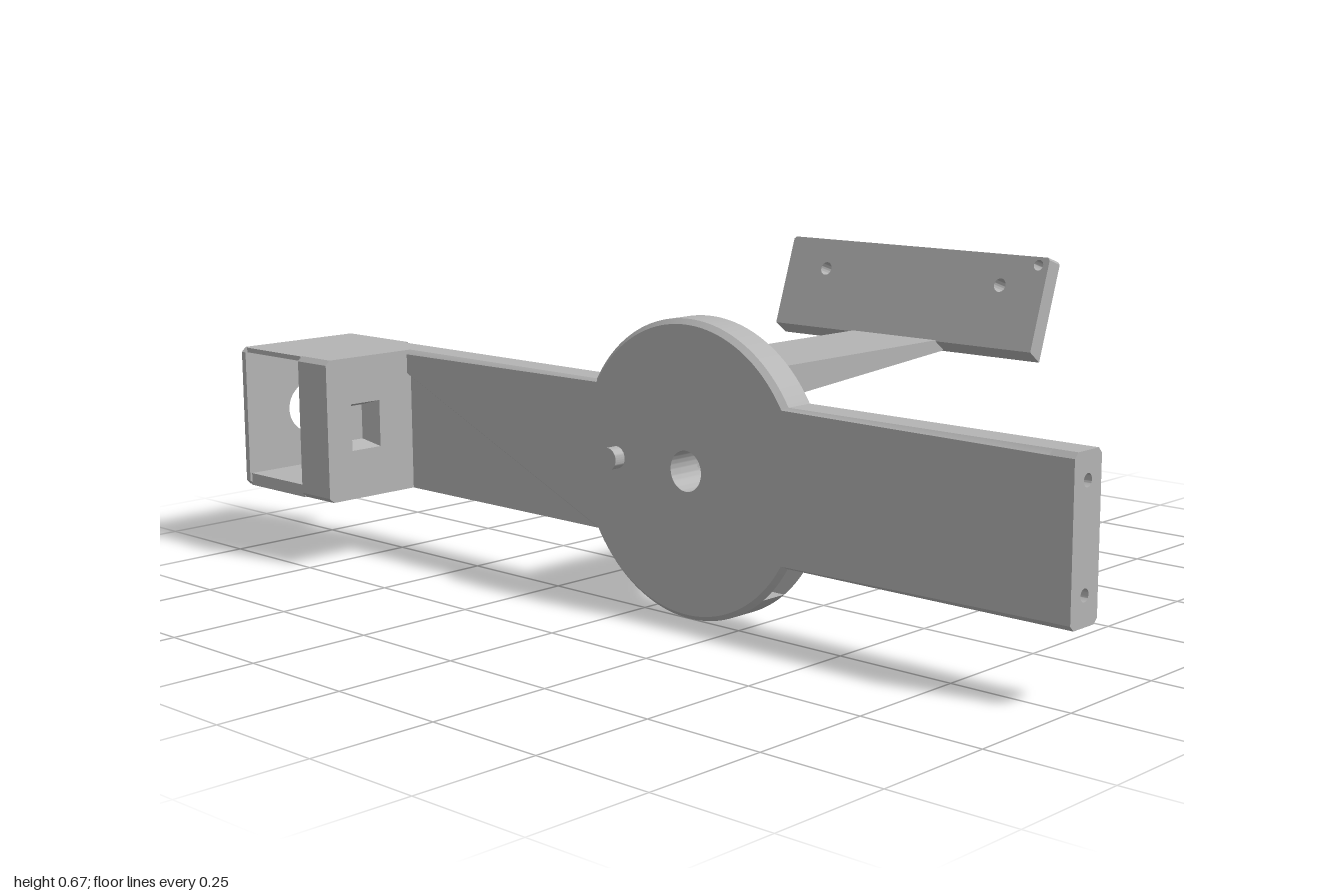
import * as THREE from 'three';
import { toCreasedNormals } from 'three/addons/utils/BufferGeometryUtils.js';

const CX = 0.122, CY = 0.2925, R = 0.2925, H = 0.1515; // hub centre, hub radius, arm half height
const X0 = -0.8, X1 = 0.95, CH = 0.01;

export function createModel() {
  const model = new THREE.Group();
  const grey = new THREE.MeshStandardMaterial({ color: 0xb4b4b4 });
  grey.name = 'grey plastic';

  const add = (name, geo, x = 0, y = 0, z = 0) => {
    const mesh = new THREE.Mesh(toCreasedNormals(geo, 0.5), grey);
    mesh.name = name;
    mesh.position.set(x, y, z);
    model.add(mesh);
    return mesh;
  };
  const extrude = (shape, depth) =>
    new THREE.ExtrudeGeometry(shape, { depth, bevelEnabled: false, curveSegments: 40 });
  // extrusion along x: shape x is -z, shape y is y
  const extrudeX = (shape, depth) => extrude(shape, depth).rotateY(Math.PI / 2);
  const poly = (pts) => new THREE.Shape(pts.map((p) => new THREE.Vector2(p[0], p[1])));
  const drill = (shape, x, y, r) => {
    shape.holes.push(new THREE.Path().absarc(x, y, r, 0, Math.PI * 2, true));
    return shape;
  };
  const warp = (geo, rule) => {
    const p = geo.attributes.position, v = new THREE.Vector3();
    for (let i = 0; i < p.count; i++) {
      v.fromBufferAttribute(p, i);
      rule(v);
      p.setXYZ(i, v.x, v.y, v.z);
    }
    return geo;
  };

  // Arm with round hub: outline, optionally without the lower hub half
  const armAngle = Math.asin(H / R);
  const outline = (lowerHub) => {
    const s = new THREE.Shape();
    s.moveTo(X0, CY - H);
    if (lowerHub) s.absarc(CX, CY, R, Math.PI + armAngle, 2 * Math.PI - armAngle, false);
    s.lineTo(X1, CY - H);
    s.lineTo(X1, CY + H);
    s.absarc(CX, CY, R, armAngle, Math.PI - armAngle, false);
    s.lineTo(X0, CY + H);
    s.closePath();
    return drill(s, CX, CY, 0.04);
  };

  // Front and back skins carry the chamfer
  const skin = (front) => {
    const s = outline(true);
    if (!front) drill(s, 0.49, CY, 0.022);
    return warp(extrude(s, CH), (v) => {
      if ((v.z > CH / 2) !== front) return;
      const dx = v.x - CX, dy = v.y - CY, d = Math.hypot(dx, dy);
      if (Math.abs(d - R) < 0.002) {
        v.x = CX + dx * (1 - CH / R);
        v.y = CY + dy * (1 - CH / R);
      } else if (Math.abs(Math.abs(dy) - H) < 0.002) v.y -= Math.sign(dy) * CH;
    });
  };
  add('armFrontSkin', skin(true), 0, 0, 0.25);
  add('armBackSkin', skin(false), 0, 0, 0.18);
  add('armCore', extrude(outline(false), 0.06), 0, 0, 0.19);

  // Lower hub rim, leaving a slot under the arm
  const capAngle = Math.asin((CY - 0.07) / R);
  const cap = new THREE.Shape();
  cap.absarc(CX, CY, R, Math.PI + capAngle, 2 * Math.PI - capAngle, false);
  cap.closePath();
  add('hubLowerRim', extrude(cap, 0.06), 0, 0, 0.19);

  // Arm tip with two screw holes
  const lo = CY - H, hi = CY + H;
  const tip = poly([
    [-0.26, lo + CH], [-0.25, lo], [-0.19, lo], [-0.18, lo + CH],
    [-0.18, hi - CH], [-0.19, hi], [-0.25, hi], [-0.26, hi - CH],
  ]);
  for (const y of [0.197, 0.393]) drill(tip, -0.22, y, 0.012);
  add('armTip', extrudeX(tip, 0.05), X1, 0, 0);

  // Hub fittings: front pin, back posts and bearing ring
  const tube = (outer, inner, length) =>
    extrude(drill(new THREE.Shape().absarc(0, 0, outer, 0, Math.PI * 2, false), 0, 0, inner), length);
  add('frontPin', new THREE.CylinderGeometry(0.022, 0.022, 0.03, 32).rotateX(Math.PI / 2), -0.065, 0.295, 0.27);
  add('bearingRing', tube(0.056, 0.04, 0.05), CX, CY, 0.135);
  for (const sx of [-1, 1])
    for (const sy of [-1, 1])
      add('backPost', tube(0.0325, 0.018, 0.07), CX + sx * 0.088, CY + sy * 0.088, 0.114);

  // End box: solid cheek with tapered window, open bay beside it
  const cheek = () => poly([
    [-0.475, lo + CH], [-0.465, lo], [-0.24, lo], [-0.24, hi], [-0.465, hi], [-0.475, hi - CH],
  ]);
  const WZ = -0.375, WY = 0.295;
  const windowed = cheek();
  windowed.holes.push(new THREE.Path([
    [-0.025, -0.037], [-0.025, 0.037], [0.025, 0.037], [0.025, -0.037],
  ].map((p) => new THREE.Vector2(WZ + p[0], WY + p[1]))));
  const windowGeo = warp(extrude(windowed, 0.045), (v) => {
    const a = v.x - WZ, b = v.y - WY;
    if (v.z > 0.02 && Math.abs(a) < 0.03 && Math.abs(b) < 0.04) {
      v.x = WZ + a * 1.5;
      v.y = WY + b * 1.35;
    }
  }).rotateY(Math.PI / 2);
  add('boxCheekOuter', windowGeo, -0.75, 0, 0);
  add('boxCheekInner', extrudeX(drill(cheek(), -0.31, 0.295, 0.018), 0.05), X0, 0, 0);

  const wall = poly([
    [-0.475, lo + CH], [-0.465, lo], [-0.18, lo], [-0.18, hi], [-0.465, hi], [-0.475, hi - CH],
  ]);
  add('boxEndWall', extrudeX(drill(wall, -0.31, 0.295, 0.055), 0.013), -1, 0, 0);
  add('boxRoof', new THREE.BoxGeometry(0.19, 0.01, 0.29), -0.893, hi - 0.005, 0.325);
  add('boxFloor', new THREE.BoxGeometry(0.19, 0.026, 0.23), -0.893, lo + 0.013, 0.355);

  // Tapered bracket reaching back from the hub
  const bracket = poly([
    [-0.185, 0.427], [-0.1, 0.427], [0.402, 0.465], [0.376, 0.489], [-0.185, 0.489],
  ]);
  add('bracketArm', extrudeX(bracket, 0.22), 0.013, 0, 0);

  // Tilted mounting plate with screw holes and a slanted lower edge
  const plate = poly([[-0.205, 0], [0.47, 0], [0.47, 0.19], [0.465, 0.195], [-0.2, 0.195], [-0.205, 0.19]]);
  drill(plate, -0.097, 0.13, 0.014);
  drill(plate, 0.363, 0.13, 0.014);
  drill(plate, 0.446, 0.178, 0.011);
  const plateGeo = warp(extrude(plate, 0.038), (v) => {
    if (v.z < 0.01 && v.y < 0.001) v.y = -0.0126;
    v.z -= 0.038;
  });
  add('mountingPlate', plateGeo, 0, 0.487, -0.373).rotation.x = -0.323;

  return model;
}
